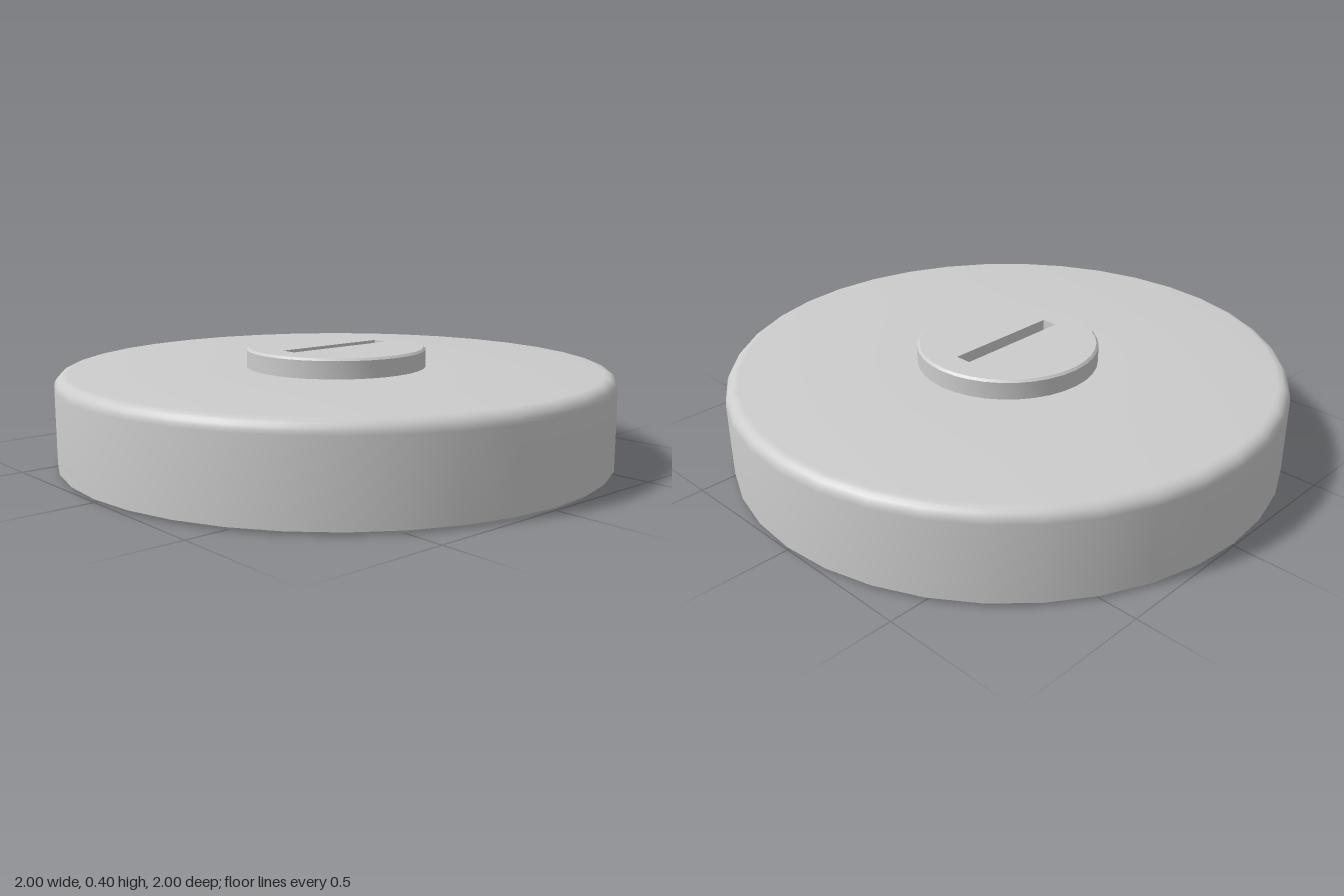
import * as THREE from 'three';
import { toCreasedNormals } from 'three/addons/utils/BufferGeometryUtils.js';

const SIDES = 36;
const TOP = 0.33, HUB_TOP = 0.4, HUB_R = 0.325, BEVEL = 0.008;
const SLOT = { w: 0.444, d: 0.06, depth: 0.06 };

const material = new THREE.MeshStandardMaterial({ color: 0xcccccc });
const openMaterial = new THREE.MeshStandardMaterial({ color: 0xcccccc, side: THREE.DoubleSide });

function addPart(group, name, geometry, mat = material) {
  const mesh = new THREE.Mesh(geometry, mat);
  mesh.name = name;
  group.add(mesh);
  return mesh;
}

// Turned solid from [radius, height] pairs, smooth around and sharp at corners
function turned(profile) {
  const points = profile.map(([r, y]) => new THREE.Vector2(r, y));
  return toCreasedNormals(new THREE.LatheGeometry(points, SIDES), 0.5);
}

export function createModel() {
  const group = new THREE.Group();
  group.name = 'slottedCap';

  // Disc: stepped hollow underside, chamfered foot, rounded upper edge
  const fillet = 0.045, steps = 6;
  const profile = [
    [0, 0.182], [0.277, 0.182], [0.277, 0.107], [0.885, 0.107],
    [0.885, 0], [0.99, 0], [1, 0.01],
  ];
  for (let i = 0; i <= steps; i++) {
    const a = (i / steps) * Math.PI / 2;
    profile.push([1 - fillet + fillet * Math.cos(a), TOP - fillet + fillet * Math.sin(a)]);
  }
  profile.push([HUB_R, TOP]);
  addPart(group, 'disc', turned(profile));

  // Hub wall with a fine bevel
  addPart(group, 'hubWall', turned([
    [HUB_R, TOP], [HUB_R, HUB_TOP - BEVEL], [HUB_R - BEVEL, HUB_TOP],
  ]));

  // Hub face, pierced by the slot
  const face = new THREE.Shape();
  for (let i = 0; i < SIDES; i++) {
    const a = (i / SIDES) * Math.PI * 2, r = HUB_R - BEVEL;
    face[i ? 'lineTo' : 'moveTo'](r * Math.cos(a), r * Math.sin(a));
  }
  face.closePath();
  const x = SLOT.w / 2, z = SLOT.d / 2;
  face.holes.push(new THREE.Path([[-x, -z], [-x, z], [x, z], [x, -z]]
    .map(([u, v]) => new THREE.Vector2(u, v))));
  const faceGeometry = new THREE.ShapeGeometry(face).rotateX(-Math.PI / 2);
  addPart(group, 'hubFace', faceGeometry).position.y = HUB_TOP;

  // Slot: a box without its top side, seen from inside
  const slot = new THREE.BoxGeometry(SLOT.w, SLOT.depth, SLOT.d);
  slot.setIndex(Array.from(slot.index.array).filter((_, i) => i < 12 || i >= 18));
  slot.clearGroups();
  // Turn the sides to face inward
  slot.index.array.forEach((v, i, a) => {
    if (i % 3 === 0) [a[i], a[i + 1]] = [a[i + 1], a[i]];
  });
  const inner = slot.toNonIndexed();
  inner.computeVertexNormals();
  addPart(group, 'slot', inner, openMaterial).position.y = HUB_TOP - SLOT.depth / 2;

  return group;
}
